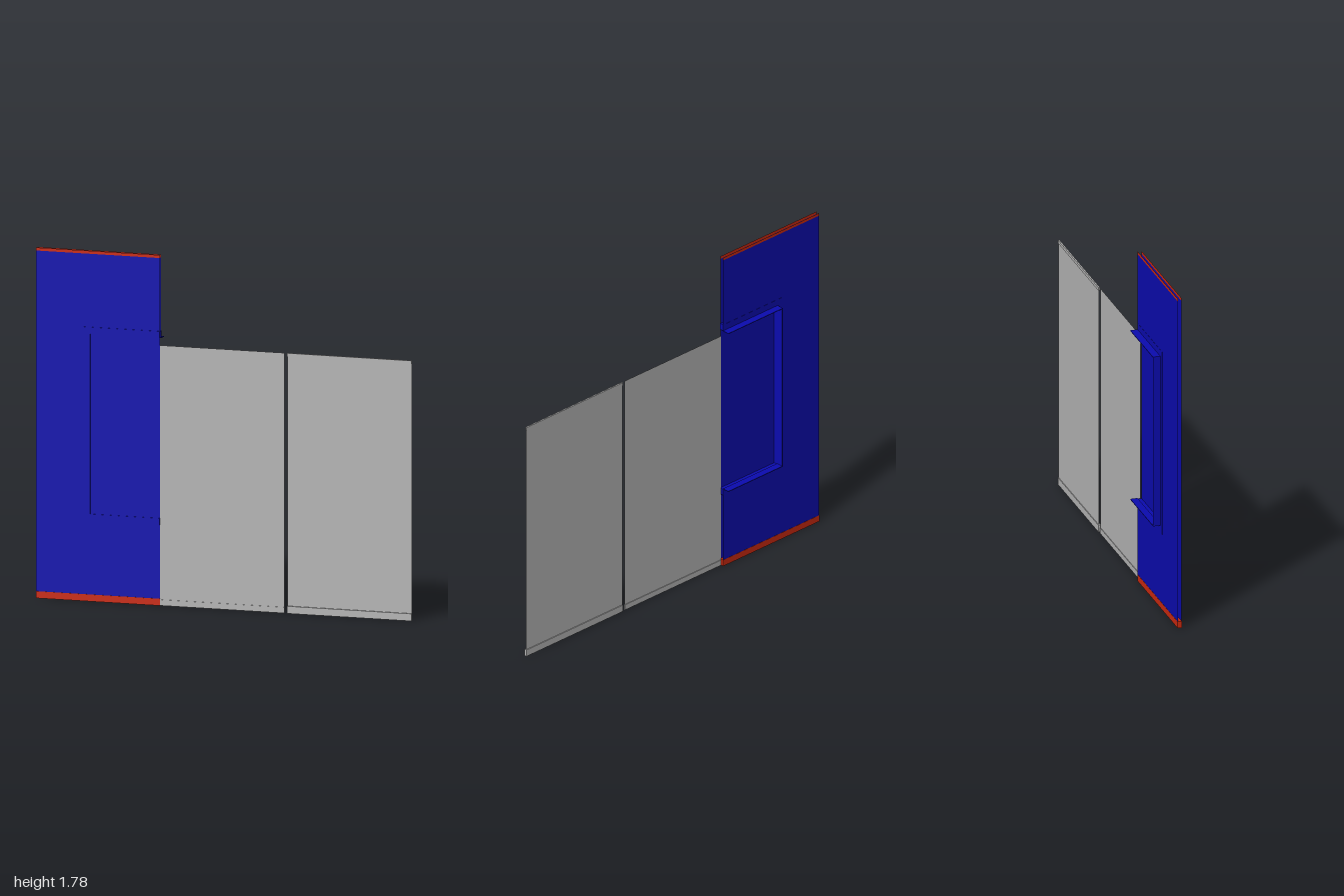
import * as THREE from 'three';

const mat = (name, color) => {
  const m = new THREE.MeshStandardMaterial({ color, side: THREE.DoubleSide });
  m.name = name;
  return m;
};

export function createModel() {
  const model = new THREE.Group();
  model.name = 'wallPanels';
  const blue = mat('deep blue', 0x0b0bb0);
  const red = mat('track red', 0xcc2a10);
  const grey = mat('panel grey', 0xb6b6b6);

  // Upright sheet in the xy plane
  const sheet = (name, m, x0, x1, y0, y1, z) => {
    const mesh = new THREE.Mesh(new THREE.PlaneGeometry(x1 - x0, y1 - y0), m);
    mesh.position.set((x0 + x1) / 2, (y0 + y1) / 2, z);
    mesh.name = name;
    model.add(mesh);
  };
  // Solid given by its limits
  const bar = (name, m, x0, x1, y0, y1, z0, z1) => {
    const mesh = new THREE.Mesh(new THREE.BoxGeometry(x1 - x0, y1 - y0, z1 - z0), m);
    mesh.position.set((x0 + x1) / 2, (y0 + y1) / 2, (z0 + z1) / 2);
    mesh.name = name;
    model.add(mesh);
  };

  const L = -1, R = -0.34, H = 1.785;
  const front = 0.028, back = 0.008;

  // Tall hollow panel: front skin, and a back skin left open inside the trim
  sheet('frontSkin', blue, L, R, 0.035, H - 0.015, front);
  sheet('backSkinSide', blue, L, -0.745, 0.035, H - 0.015, back);
  sheet('backSkinBottom', blue, -0.745, R, 0.035, 0.41, back);
  sheet('backSkinTop', blue, -0.745, R, 1.397, H - 0.015, back);

  // Top track flanges and closed bottom track
  for (const z of [front, back]) sheet('topTrack', red, L, R, H - 0.015, H, z);
  bar('bottomTrack', red, L, R, 0, 0.035, 0.007, 0.03);

  // Opening trim: flat border with a thin lining that stands out at the back
  const t = 0.004;
  bar('trimBorderSide', blue, -0.745, -0.71, 0.41, 1.397, 0.007, 0.031);
  bar('trimLiningSide', blue, -0.71 - t, -0.71, 0.445, 1.363, -0.031, 0.007);
  for (const [y0, y1, inner] of [[0.41, 0.445, 0.445], [1.363, 1.397, 1.363 - t]]) {
    bar('trimBorder', blue, -0.71, R, y0, y1, 0.007, 0.031);
    bar('trimLining', blue, -0.71, R, inner, inner + t, -0.031, 0.007);
  }

  // Middle panel with its flush skirting
  sheet('middlePanel', grey, R, 0.322, 0.03, 1.325, 0.024);
  bar('middleSkirting', grey, R, 0.322, 0, 0.03, 0.021, 0.027);

  // End panel with a lip along the top and a proud skirting
  sheet('endPanel', grey, 0.337, 1, 0.035, 1.312, 0.022);
  bar('endTopLip', grey, 0.337, 1, 1.308, 1.325, 0.018, 0.026);
  bar('endSkirting', grey, 0.337, 1, 0, 0.037, 0.018, 0.031);

  return model;
}
